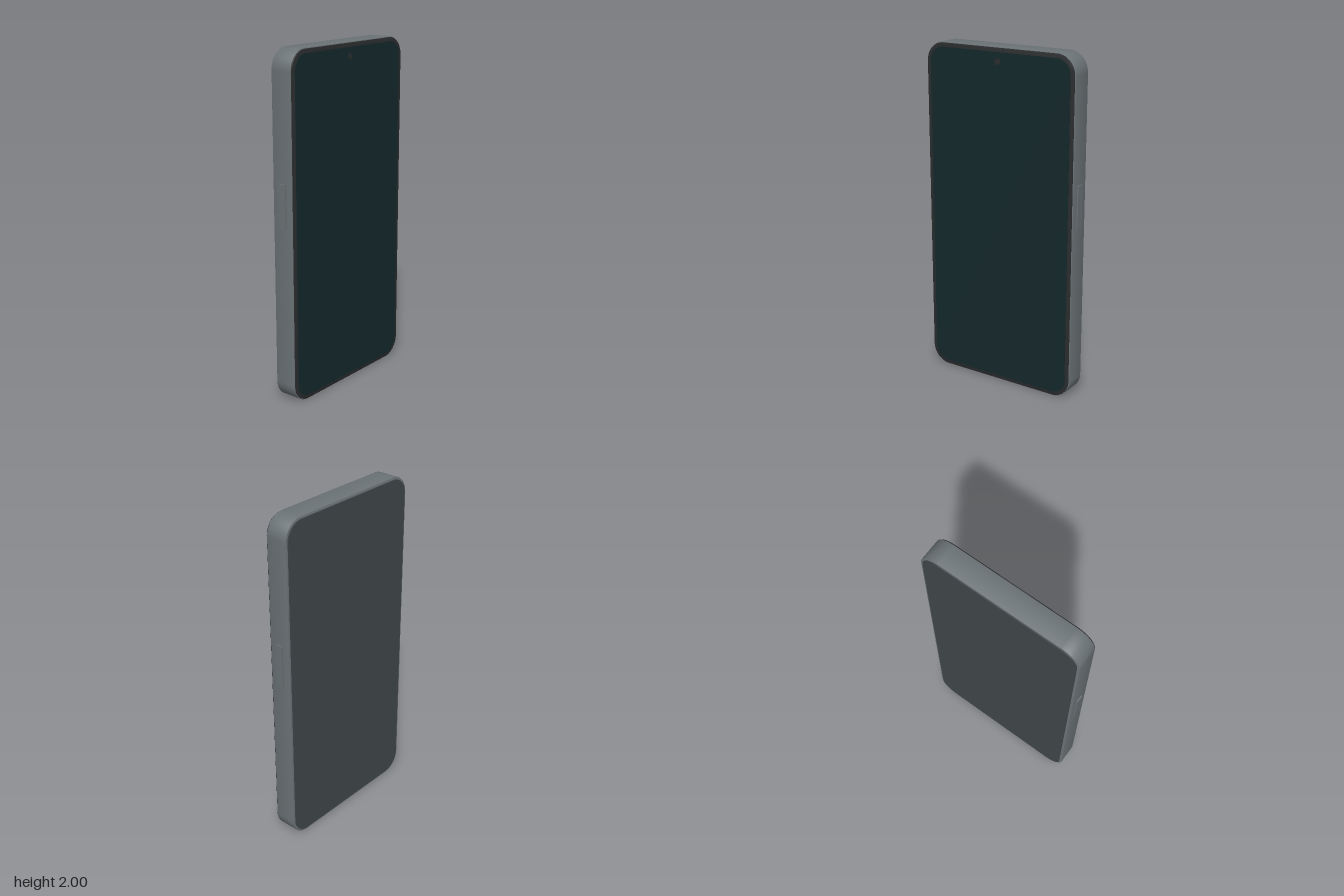
import * as THREE from 'three';
import { toCreasedNormals } from 'three/addons/utils/BufferGeometryUtils.js';

const mat = (color) => new THREE.MeshStandardMaterial({ color });

// Rounded rectangle of half-width w and half-height h, centred on the origin
function roundedRect(w, h, r) {
  const s = new THREE.Shape();
  s.absarc(w - r, h - r, r, 0, Math.PI / 2);
  s.absarc(-w + r, h - r, r, Math.PI / 2, Math.PI);
  s.absarc(-w + r, -h + r, r, Math.PI, Math.PI * 1.5);
  s.absarc(w - r, -h + r, r, Math.PI * 1.5, Math.PI * 2);
  s.closePath();
  return s;
}

// Rounded slab between z0 and z1 with a small edge bevel
function slab(name, w, h, r, z0, z1, bevel, material) {
  const geo = new THREE.ExtrudeGeometry(roundedRect(w - bevel, h - bevel, r - bevel), {
    depth: z1 - z0 - 2 * bevel, curveSegments: 16,
    bevelEnabled: bevel > 0, bevelSize: bevel, bevelThickness: bevel, bevelSegments: 2,
  });
  geo.translate(0, 1, z0 + bevel);
  const mesh = new THREE.Mesh(toCreasedNormals(geo, 0.6), material);
  mesh.name = name;
  return mesh;
}

export function createModel() {
  const phone = new THREE.Group();
  phone.name = 'phone';
  const metal = mat(0x6b7376);
  const black = mat(0x2a2c2e);

  // Frame, back cover and layered front glass
  phone.add(
    slab('frame', 0.487, 1, 0.115, -0.071, 0.061, 0.003, metal),
    slab('backCover', 0.473, 0.986, 0.101, -0.077, -0.06, 0, mat(0x40474a)),
    slab('bezel', 0.482, 0.995, 0.11, 0.05, 0.067, 0.002, black),
    slab('screen', 0.459, 0.972, 0.087, 0.06, 0.07, 0, mat(0x14282b)),
  );

  // Front camera
  const camera = new THREE.Mesh(new THREE.CylinderGeometry(0.018, 0.018, 0.012, 32), black);
  camera.name = 'frontCamera';
  camera.rotation.x = Math.PI / 2;
  camera.position.set(0, 1.92, 0.067);
  phone.add(camera);

  // Side buttons
  for (const [name, side] of [['leftButton', 1], ['rightButton', -1]]) {
    const button = new THREE.Mesh(new THREE.BoxGeometry(0.02, 0.25, 0.046), metal);
    button.name = name;
    button.position.set(side * 0.484, 1.155, -0.004);
    phone.add(button);
  }
  return phone;
}
